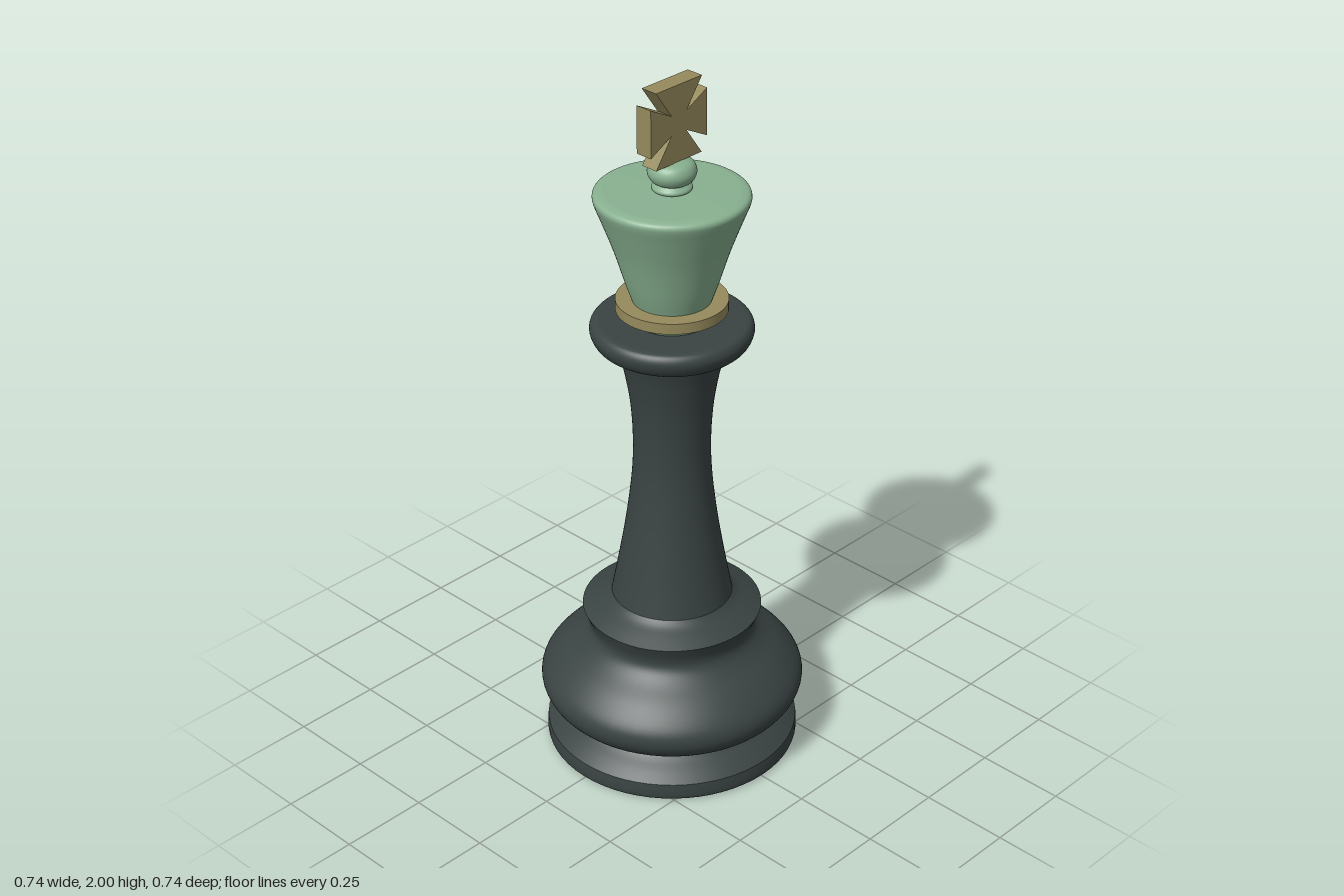
import * as THREE from 'three';

const dark = new THREE.MeshStandardMaterial({ name: 'dark slate', color: 0x3a4443 });
const green = new THREE.MeshStandardMaterial({ name: 'sage green', color: 0x88b090 });
const gold = new THREE.MeshStandardMaterial({ name: 'old gold', color: 0x958a5c });

const SEGMENTS = 64;

// Turned part from [radius, height] pairs, listed bottom to top on the outside.
// steps > 0 rounds the profile with a spline; otherwise it stays straight.
function turned(name, material, pairs, steps = 0) {
  let points = pairs.map(([r, y]) => new THREE.Vector2(r, y));
  if (steps) points = new THREE.SplineCurve(points).getPoints(steps);
  const mesh = new THREE.Mesh(new THREE.LatheGeometry(points, SEGMENTS), material);
  mesh.name = name;
  return mesh;
}

// Flaring cross outline: one arm repeated around the centre
function crossShape(halfWidth, halfHeight, tipX, tipY, notch) {
  const shape = new THREE.Shape();
  shape.setFromPoints([
    [notch, notch], [tipX, halfHeight], [-tipX, halfHeight],
    [-notch, notch], [-halfWidth, tipY], [-halfWidth, -tipY],
    [-notch, -notch], [-tipX, -halfHeight], [tipX, -halfHeight],
    [notch, -notch], [halfWidth, -tipY], [halfWidth, tipY],
  ].map(([x, y]) => new THREE.Vector2(x, y)));
  return shape;
}

export function createModel() {
  const model = new THREE.Group();
  model.name = 'chessKing';

  // Base: foot, round bulge and flared skirt
  model.add(
    turned('footUnderside', dark, [[0, 0], [0.345, 0]]),
    turned('footRim', dark, [[0.345, 0], [0.355, 0.008], [0.356, 0.03], [0.354, 0.052]], 10),
    turned('footSlope', dark, [[0.354, 0.052], [0.325, 0.075], [0.292, 0.098], [0.278, 0.118]], 10),
    turned('bulge', dark, [[0.278, 0.118], [0.325, 0.13], [0.358, 0.163], [0.37, 0.2], [0.358, 0.238],
      [0.315, 0.285], [0.262, 0.325], [0.236, 0.355], [0.233, 0.385], [0.25, 0.43]], 40),
    turned('skirtTop', dark, [[0.25, 0.43], [0.215, 0.447], [0.185, 0.461], [0.168, 0.475]], 8),
  );

  // Stem and collar
  model.add(
    turned('stem', dark, [[0.168, 0.475], [0.148, 0.58], [0.125, 0.72], [0.109, 0.86], [0.106, 0.97],
      [0.113, 1.08], [0.13, 1.18], [0.148, 1.245]], 32),
    turned('collar', dark, [[0.148, 1.245], [0.178, 1.25], [0.205, 1.267], [0.218, 1.292], [0.218, 1.31],
      [0.209, 1.324], [0.195, 1.328]], 24),
    turned('collarTop', dark, [[0.195, 1.328], [0, 1.328]]),
  );

  // Neck with a gold ring
  model.add(turned('neck', green,
    [[0.1, 1.327], [0.109, 1.334], [0.111, 1.345], [0.108, 1.356], [0.1, 1.362]], 12));
  const ring = new THREE.Mesh(new THREE.CylinderGeometry(0.15, 0.15, 0.03, SEGMENTS), gold);
  ring.name = 'neckRing';
  ring.position.y = 1.374;
  model.add(ring);

  // Crown with a rounded lip and gently domed top
  model.add(
    turned('crown', green, [[0.106, 1.388], [0.124, 1.44], [0.155, 1.54], [0.188, 1.63], [0.204, 1.672],
      [0.206, 1.688], [0.198, 1.697], [0.18, 1.701]], 32),
    turned('crownTop', green, [[0.18, 1.701], [0, 1.705]]),
  );

  // Knob on a small bead
  model.add(
    turned('knobBead', green, [[0.035, 1.699], [0.051, 1.705], [0.053, 1.713], [0.045, 1.722],
      [0.038, 1.728]], 14),
    turned('knob', green, [[0.035, 1.722], [0.053, 1.73], [0.063, 1.746], [0.064, 1.762],
      [0.055, 1.779], [0.034, 1.788], [0, 1.79]], 24),
  );

  // Cross finial
  const depth = 0.05;
  const crossGeometry = new THREE.ExtrudeGeometry(crossShape(0.102, 0.106, 0.083, 0.066, 0.027),
    { depth, bevelEnabled: false });
  crossGeometry.translate(0, 1.894, -depth / 2);
  const cross = new THREE.Mesh(crossGeometry, gold);
  cross.name = 'cross';
  model.add(cross);

  return model;
}
